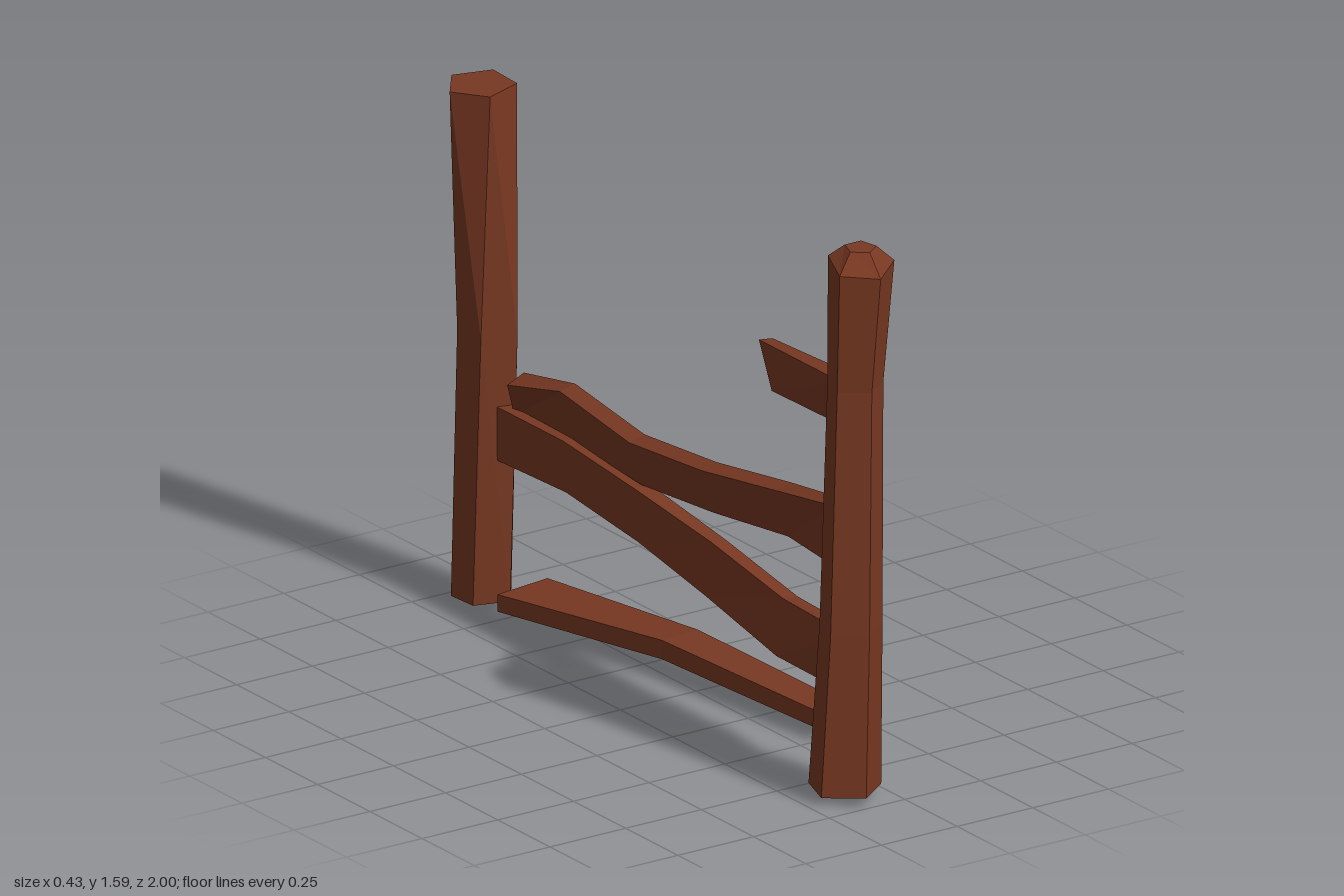
import * as THREE from 'three';

const wood = new THREE.MeshStandardMaterial({ color: 0x783822, flatShading: true, roughness: 0.9 });

// Skin a list of rings (equal point counts) and close both ends onto cap points.
function loft(name, rings, startCap, endCap) {
  const n = rings[0].length, pos = [];
  const centre = r => r.reduce((a, p) => a.add(p), new THREE.Vector3()).divideScalar(n);
  const tri = (a, b, c) => pos.push([a, b, c]);
  for (let i = 0; i < rings.length - 1; i++) {
    for (let j = 0; j < n; j++) {
      const k = (j + 1) % n, a = rings[i], b = rings[i + 1];
      tri(a[j], a[k], b[k]);
      tri(a[j], b[k], b[j]);
    }
  }
  const first = rings[0], last = rings[rings.length - 1];
  const c0 = startCap || centre(first), c1 = endCap || centre(last);
  for (let j = 0; j < n; j++) {
    const k = (j + 1) % n;
    tri(c0, first[k], first[j]);
    tri(c1, last[j], last[k]);
  }
  // turn every face outward if the rings run the other way round
  const volume = pos.reduce((s, [a, b, c]) => s + a.dot(b.clone().cross(c)), 0);
  const points = pos.flatMap(([a, b, c]) => (volume < 0 ? [a, c, b] : [a, b, c]));
  const geo = new THREE.BufferGeometry().setFromPoints(points);
  geo.computeVertexNormals();
  const mesh = new THREE.Mesh(geo, wood);
  mesh.name = name;
  return mesh;
}

// Five-sided post ring: centre, radius, turn in degrees, height tilt along x and z
function postRing([y, x, z, r, turn, tiltX = 0, tiltZ = 0]) {
  return Array.from({ length: 5 }, (_, i) => {
    const a = THREE.MathUtils.degToRad(turn + i * 72);
    const dx = r * Math.cos(a), dz = r * Math.sin(a);
    return new THREE.Vector3(x + dx, y + dx * tiltX + dz * tiltZ, z + dz);
  });
}

// Four-cornered plank ring: the top shifts by -lean and the bottom by +lean
function plankRing([zBottom, zTop, y0, y1, x, lean, w]) {
  const h = w / 2, dy = (w * 2 * lean) / (y1 - y0);
  const up = Math.max(dy, 0), down = Math.max(-dy, 0);
  return [
    new THREE.Vector3(x + lean - h, y0 + down, zBottom),
    new THREE.Vector3(x + lean + h, y0 + up, zBottom),
    new THREE.Vector3(x - lean + h, y1 - down, zTop),
    new THREE.Vector3(x - lean - h, y1 - up, zTop),
  ];
}

export function createModel() {
  const group = new THREE.Group();
  group.name = 'brokenFence';

  // front post with a bevelled top
  group.add(loft('frontPost', [
    [0.03, -0.12, 0.885, 0.104, 90],
    [0.5, -0.112, 0.903, 0.09, 90],
    [1.2, -0.092, 0.895, 0.08, 90],
    [1.553, -0.08, 0.905, 0.095, 90, 0.05, -0.18],
    [1.598, -0.078, 0.9, 0.045, 90, 0, -0.05],
  ].map(postRing)));

  // back post, twisted slightly toward its flat top
  group.add(loft('backPost', [
    [0.025, -0.09, -0.885, 0.09, 0, 0, 0.04],
    [0.8, -0.075, -0.877, 0.09, -3],
    [1.51, -0.09, -0.903, 0.1, -35, 0.04, -0.02],
  ].map(postRing)));

  // sagging upper rail with a slanted loose end
  group.add(loft('upperRail', [
    [0.88, 0.88, 0.66, 0.86, -0.115, 0.012, 0.05],
    [0.55, 0.55, 0.645, 0.8, -0.07, 0.02, 0.05],
    [0.2, 0.2, 0.605, 0.75, -0.075, 0.02, 0.05],
    [-0.15, -0.15, 0.575, 0.72, -0.072, 0.02, 0.05],
    [-0.5, -0.5, 0.592, 0.755, -0.06, 0.02, 0.05],
    [-0.79, -0.73, 0.568, 0.717, -0.06, 0.033, 0.055],
  ].map(plankRing)));

  // lower rail rising toward the back post
  group.add(loft('lowerRail', [
    [0.88, 0.88, 0.31, 0.475, -0.1, -0.008, 0.05],
    [0.53, 0.53, 0.29, 0.46, -0.065, -0.01, 0.05],
    [0.2, 0.2, 0.36, 0.52, -0.07, -0.008, 0.05],
    [-0.15, -0.15, 0.413, 0.572, -0.07, 0.005, 0.05],
    [-0.5, -0.5, 0.445, 0.6, -0.065, 0.005, 0.05],
    [-0.85, -0.85, 0.443, 0.6, -0.075, 0, 0.05],
  ].map(plankRing)));

  // snapped stub of the top rail
  group.add(loft('brokenStub', [
    [0.88, 0.88, 1.075, 1.22, -0.098, 0.01, 0.05],
    [0.54, 0.455, 1.07, 1.195, -0.092, -0.008, 0.045],
  ].map(plankRing), null, new THREE.Vector3(-0.09, 1.14, 0.53)));

  // fallen rail lying on the ground: [left x, z, right x, z, left y, right y, thickness]
  const fallen = [
    [-0.16, -0.72, 0.03, -0.755, 0.045, 0.04, 0.05],
    [-0.03, -0.12, 0.11, -0.15, 0.067, 0.058, 0.055],
    [0.05, 0.5, 0.21, 0.48, 0.045, 0.005, 0.05],
  ].map(([xl, zl, xr, zr, yl, yr, t]) => [
    new THREE.Vector3(xl, yl, zl), new THREE.Vector3(xr - 0.005, yr, zr),
    new THREE.Vector3(xr, yr + t, zr), new THREE.Vector3(xl, yl + t, zl),
  ]);
  group.add(loft('fallenRail', fallen, null, new THREE.Vector3(0.13, 0.05, 0.465)));

  return group;
}
